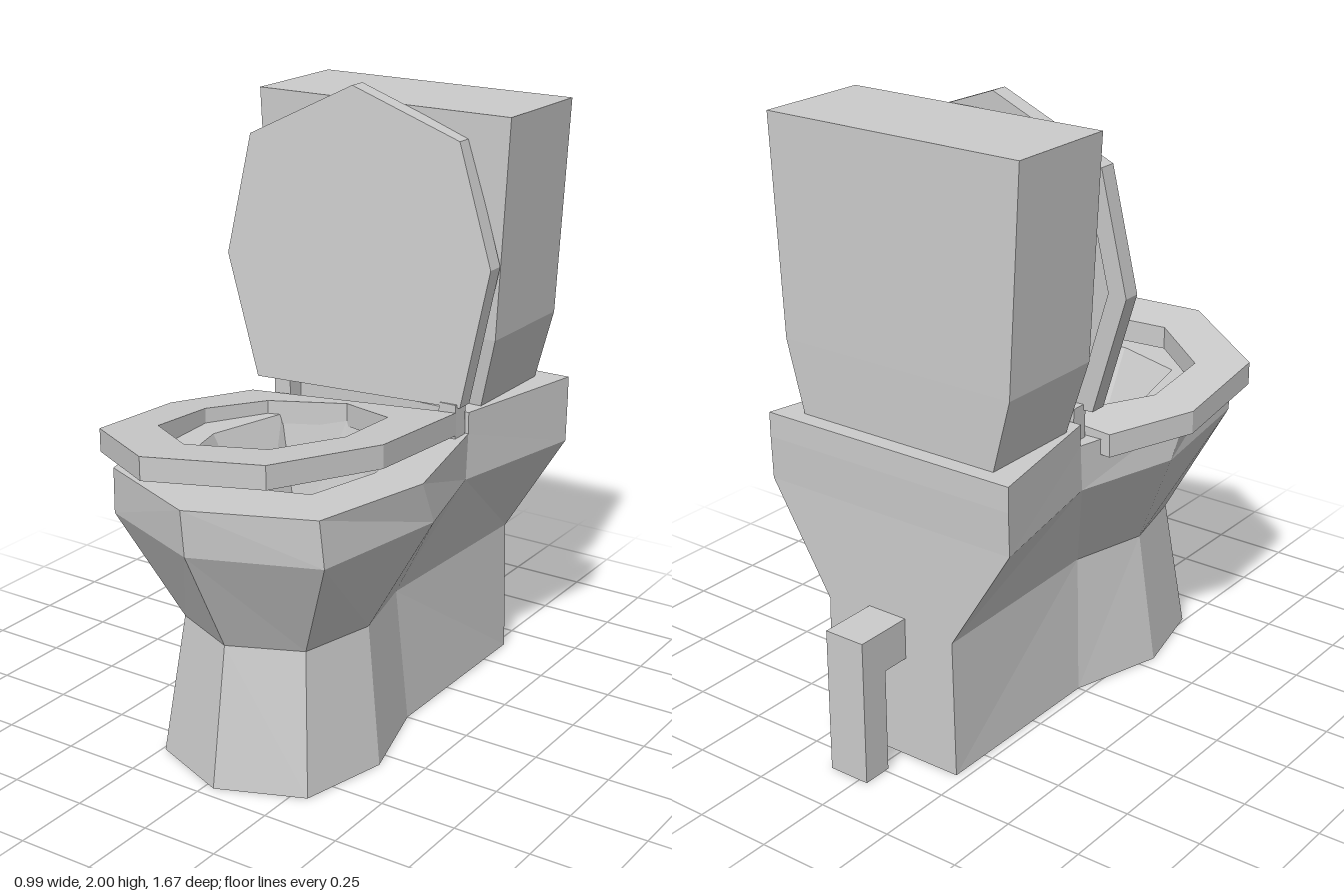
import * as THREE from 'three';

const CX = 0.03; // centre line of the fixture

const material = new THREE.MeshStandardMaterial({
  color: 0xcccccc, flatShading: true, side: THREE.DoubleSide,
});

function mesh(name, geometry) {
  const m = new THREE.Mesh(geometry, material);
  m.name = name;
  return m;
}

// Half outline [x, z] from front to back, mirrored into a closed ring at height y.
function ring(y, half) {
  const right = half.map(([x, z]) => new THREE.Vector3(CX + x, y, z));
  const left = half.filter(([x]) => x > 0).reverse()
    .map(([x, z]) => new THREE.Vector3(CX - x, y, z));
  return [...right, ...left];
}

// Skin a stack of rings and cap the last one; diagonals mirror left to right.
function loft(rings) {
  const pts = [];
  const n = rings[0].length;
  for (let r = 0; r < rings.length - 1; r++) {
    for (let i = 0; i < n; i++) {
      const j = (i + 1) % n;
      const a = rings[r][i], b = rings[r][j], c = rings[r + 1][j], d = rings[r + 1][i];
      if (i < n / 2) pts.push(a, b, d, b, c, d);
      else pts.push(a, b, c, a, c, d);
    }
  }
  const top = rings[rings.length - 1];
  for (let i = 1; i < n - 1; i++) pts.push(top[0], top[i], top[i + 1]);
  const g = new THREE.BufferGeometry().setFromPoints(pts);
  g.computeVertexNormals();
  return g;
}

// Extruded polygon, optionally with a hole.
function slab(outline, depth, hole) {
  const toV = (p) => p.map(([x, y]) => new THREE.Vector2(x, y));
  const shape = new THREE.Shape(toV(outline));
  if (hole) shape.holes.push(new THREE.Path(toV(hole)));
  return new THREE.ExtrudeGeometry(shape, { depth, bevelEnabled: false });
}

// Move every vertex by a linear rule to tilt a slab.
function tilt(g, rule) {
  const p = g.attributes.position;
  for (let i = 0; i < p.count; i++) {
    const [x, y, z] = rule(p.getX(i), p.getY(i), p.getZ(i));
    p.setXYZ(i, x, y, z);
  }
  g.computeVertexNormals();
  return g;
}

function box(name, x, y0, y1, z0, z1, w) {
  const m = mesh(name, new THREE.BoxGeometry(w, y1 - y0, z1 - z0));
  m.position.set(x, (y0 + y1) / 2, (z0 + z1) / 2);
  return m;
}

export function createModel() {
  const group = new THREE.Group();
  group.name = 'toilet';

  // Pedestal, flared bowl, flat rim and basin in one skin, open underneath
  group.add(mesh('bowl', loft([
    ring(0, [[0, 0.71], [0.27, 0.6], [0.34, 0.31], [0.25, 0], [0.25, -0.64]]),
    ring(0.45, [[0, 0.64], [0.225, 0.54], [0.285, 0.29], [0.22, 0.03], [0.24, -0.64]]),
    ring(0.8, [[0, 0.82], [0.38, 0.67], [0.455, 0.2], [0.36, -0.15], [0.455, -0.64]]),
    ring(0.95, [[0, 0.835], [0.37, 0.68], [0.463, 0.28], [0.36, -0.16], [0.455, -0.645]]),
    ring(0.95, [[0, 0.61], [0.24, 0.53], [0.3, 0.28], [0.23, 0.01], [0.02, -0.05]]),
    ring(0.55, [[0, 0.4], [0.13, 0.34], [0.165, 0.2], [0.15, 0.04], [0.02, 0.03]]),
  ])));

  // Raised shelf under the tank
  const shelf = [[0.36, -0.16], [0.455, -0.645]];
  group.add(mesh('tankShelf', loft([ring(0.94, shelf), ring(1.02, shelf)])));

  // Tank, tapering towards its foot
  group.add(mesh('tank', loft([
    ring(1.02, [[0.36, -0.235], [0.36, -0.59]]),
    ring(1.25, [[0.42, -0.207], [0.42, -0.592]]),
    ring(1.945, [[0.455, -0.205], [0.455, -0.592]]),
  ])));

  // Seat: faceted ring, sitting crooked on the rim
  const flip = (p) => p.map(([x, z]) => [x, -z]);
  const seat = slab(
    flip([[-0.5, 0.2], [-0.47, 0.585], [-0.14, 0.8], [0.24, 0.71], [0.4, 0.35], [0.38, -0.1], [-0.38, -0.08]]),
    0.075,
    flip([[-0.35, 0.215], [-0.335, 0.47], [-0.12, 0.62], [0.14, 0.555], [0.25, 0.32], [0.225, 0.05], [0.01, -0.05], [-0.24, 0.03]]),
  ).rotateX(-Math.PI / 2);
  group.add(mesh('seat', tilt(seat, (x, y, z) => [x, y + 0.936 + 0.085 * x + 0.083 * z, z])));

  // Raised lid: thin front plate with a rim behind it
  const outline = [[-0.03, 2], [0.34, 1.865], [0.465, 1.49], [0.39, 1.05], [-0.33, 1.04], [-0.455, 1.43], [-0.385, 1.82]];
  const inner = outline.map(([x, y]) => [x * 0.87, 1.5 + (y - 1.5) * 0.87]);
  const lean = (x, y, z) => [x, y, z + 0.0025 - 0.083 * x - 0.07 * y];
  const lid = new THREE.Group();
  lid.name = 'lid';
  lid.add(
    mesh('lidPlate', tilt(slab(outline, 0.02).translate(0, 0, -0.02), lean)),
    mesh('lidRim', tilt(slab(outline, 0.038, inner).translate(0, 0, -0.058), lean)),
  );
  group.add(lid);

  // Hinges joining seat and lid to the bowl
  for (const x of [-0.27, 0.35]) group.add(box('hinge', x, 0.94, 1.06, -0.155, -0.095, 0.06));

  // Drain pipe: elbow from the back wall down to the floor
  group.add(
    box('pipeArm', 0.04, 0.34, 0.475, -0.735, -0.63, 0.14),
    box('pipeDrop', 0.04, 0, 0.475, -0.835, -0.735, 0.14),
  );

  return group;
}
